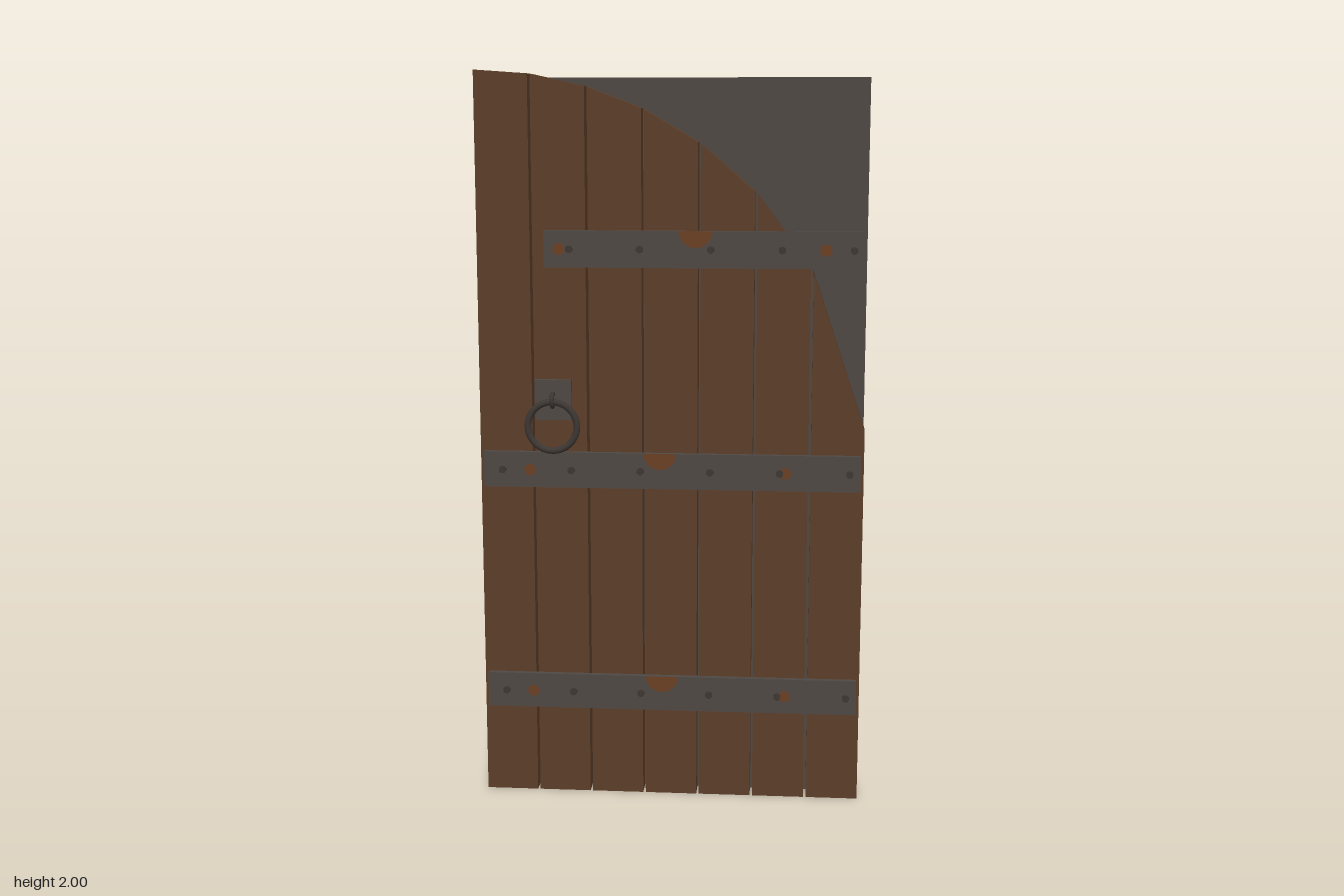
import * as THREE from 'three';

const material = (name, color) => {
  const m = new THREE.MeshStandardMaterial({ color });
  m.name = name;
  return m;
};

export function createModel() {
  const wood = material('brown wood', 0x5c3e29);
  const iron = material('grey iron', 0x4f4844);
  const darkIron = material('dark iron', 0x3d3733);
  const rust = material('rust', 0x6a4023);

  const door = new THREE.Group();
  door.name = 'door';
  const add = (name, geometry, mat, x = 0, y = 0, z = 0, parent = door) => {
    const mesh = new THREE.Mesh(geometry, mat);
    mesh.name = name;
    mesh.position.set(x, y, z);
    parent.add(mesh);
    return mesh;
  };

  // Planks: each top is one straight cut along a quarter arch
  const left = -0.523, pitch = 0.1502, width = 0.1432;
  const arch = (x) => {
    const d = Math.max(0, 1.035 ** 2 - (x - left) ** 2);
    return Math.max(1.05, 0.965 + Math.sqrt(d));
  };
  for (let i = 0; i < 7; i++) {
    const x0 = left + i * pitch, x1 = x0 + width;
    const outline = new THREE.Shape([
      new THREE.Vector2(x0, 0), new THREE.Vector2(x1, 0),
      new THREE.Vector2(x1, arch(x1)), new THREE.Vector2(x0, arch(x0)),
    ]);
    const plank = new THREE.ExtrudeGeometry(outline, { depth: 0.057, bevelEnabled: false });
    add('plank', plank, wood, 0, 0, -0.045);
  }

  // Backing sheet behind the planks
  add('backingSheet', new THREE.BoxGeometry(1.04, 1.98, 0.01), iron, 0, 0.99, -0.05);

  // Iron straps with rivets and rust patches
  const rivetShape = new THREE.CylinderGeometry(0.01, 0.01, 0.012, 10).rotateX(Math.PI / 2);
  const rustDisc = new THREE.CircleGeometry(0.017, 7);
  const rustHalf = new THREE.CircleGeometry(0.045, 8, Math.PI, Math.PI);
  const straps = [
    { name: 'upperStrap', x0: -0.34, y: 1.533, rivets: 5, patches: [-0.3, 0.41], stain: 0.065 },
    { name: 'middleStrap', x0: -0.513, y: 0.932, rivets: 6, patches: [-0.385, 0.31], stain: -0.03 },
    { name: 'lowerStrap', x0: -0.513, y: 0.3, rivets: 6, patches: [-0.385, 0.315], stain: -0.025 },
  ];
  for (const s of straps) {
    const strap = new THREE.Group();
    strap.name = s.name;
    strap.position.y = s.y;
    door.add(strap);
    const x1 = 0.513;
    add('strapBar', new THREE.BoxGeometry(x1 - s.x0, 0.098, 0.016), iron, (s.x0 + x1) / 2, 0, 0.019, strap);
    for (let i = 0; i < s.rivets; i++) {
      add('rivet', rivetShape, darkIron, 0.484 - i * 0.189, 0, 0.03, strap);
    }
    for (const x of s.patches) add('rustPatch', rustDisc, rust, x, 0, 0.0285, strap);
    add('rustStain', rustHalf, rust, s.stain, 0.049, 0.0285, strap);
  }

  // Handle: mounting plate, staple and hanging ring
  const handle = new THREE.Group();
  handle.name = 'handle';
  handle.position.x = -0.32;
  door.add(handle);
  add('handlePlate', new THREE.BoxGeometry(0.1, 0.11, 0.014), iron, 0, 1.125, 0.019, handle);
  add('staple', new THREE.TorusGeometry(0.018, 0.006, 8, 16).rotateY(Math.PI / 2),
    darkIron, 0, 1.126, 0.034, handle);
  add('ring', new THREE.TorusGeometry(0.067, 0.009, 10, 32), darkIron, 0, 1.056, 0.045, handle);

  return door;
}
